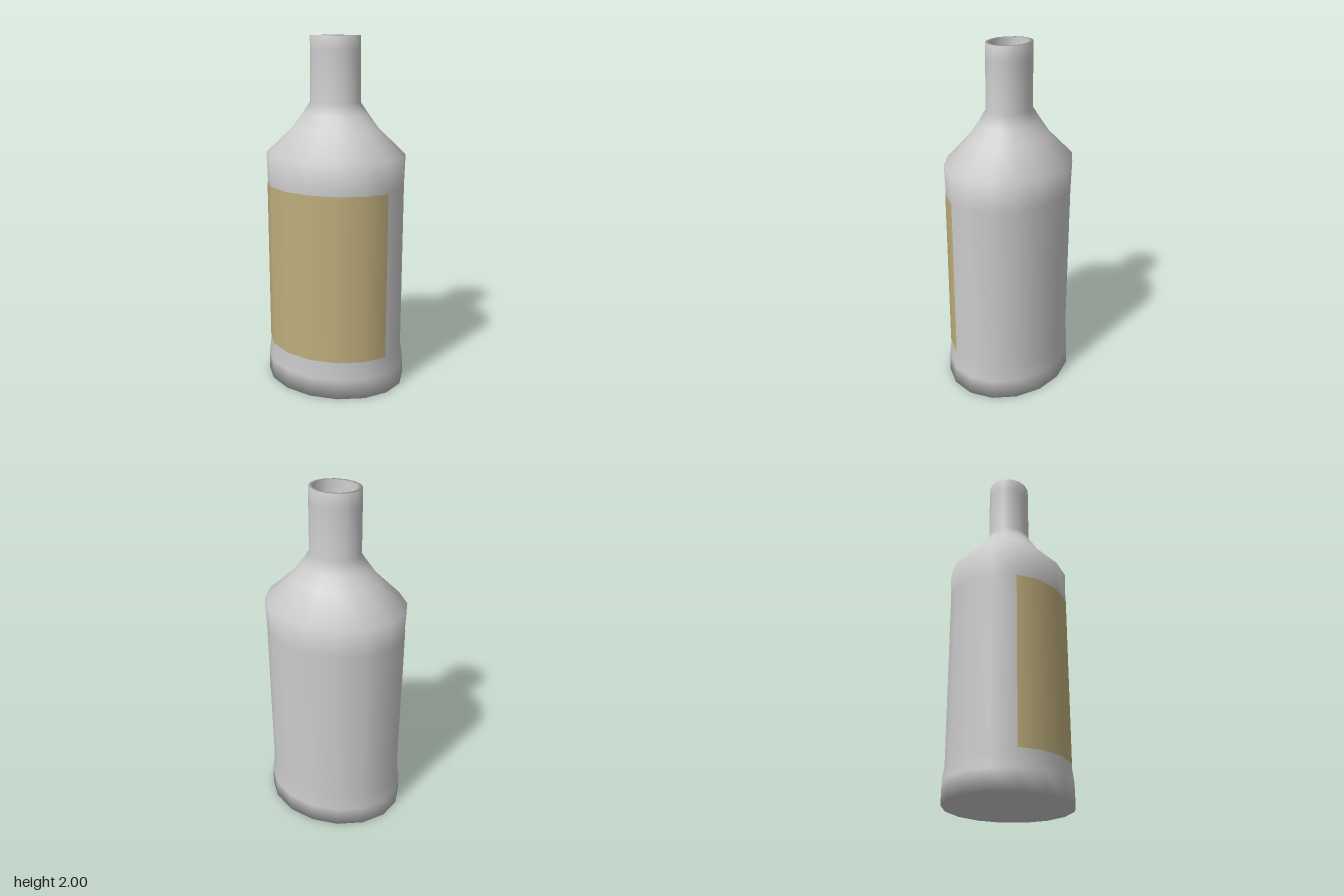
import * as THREE from 'three';

const SIDES = 16;
const DEPTH = 0.838; // oval cross-section: depth relative to width

// Lathe a list of [radius, height] points into an oval shell
function ovalLathe(points, sides = SIDES, start = 0, sweep = Math.PI * 2) {
  const profile = points.map(([r, y]) => new THREE.Vector2(r, y));
  const geometry = new THREE.LatheGeometry(profile, sides, start, sweep);
  return geometry.scale(1, 1, DEPTH);
}

export function createModel() {
  const group = new THREE.Group();
  group.name = 'bottle';

  // Base, body, shoulder, neck and hollow mouth in one smooth profile
  const glass = new THREE.MeshStandardMaterial({ color: 0xcccccc, side: THREE.DoubleSide });
  const body = new THREE.Mesh(ovalLathe([
    [0, 0], [0.417, 0],
    [0.415, 0.115], [0.401, 0.21],
    [0.401, 1.185], [0.406, 1.35],
    [0.25, 1.495], [0.19, 1.575], [0.145, 1.64],
    [0.144, 1.92], [0.144, 2],
    [0.122, 2], [0.122, 1.66], [0, 1.64],
  ]), glass);
  body.name = 'bottleBody';
  group.add(body);

  // Label wrapped around the six front facets
  const paper = new THREE.MeshStandardMaterial({ color: 0xbfae7c, side: THREE.DoubleSide });
  const step = (Math.PI * 2) / SIDES;
  const label = new THREE.Mesh(
    ovalLathe([[0.404, 0.218], [0.404, 1.175]], 6, -3 * step, 6 * step), paper);
  label.name = 'frontLabel';
  group.add(label);

  return group;
}
